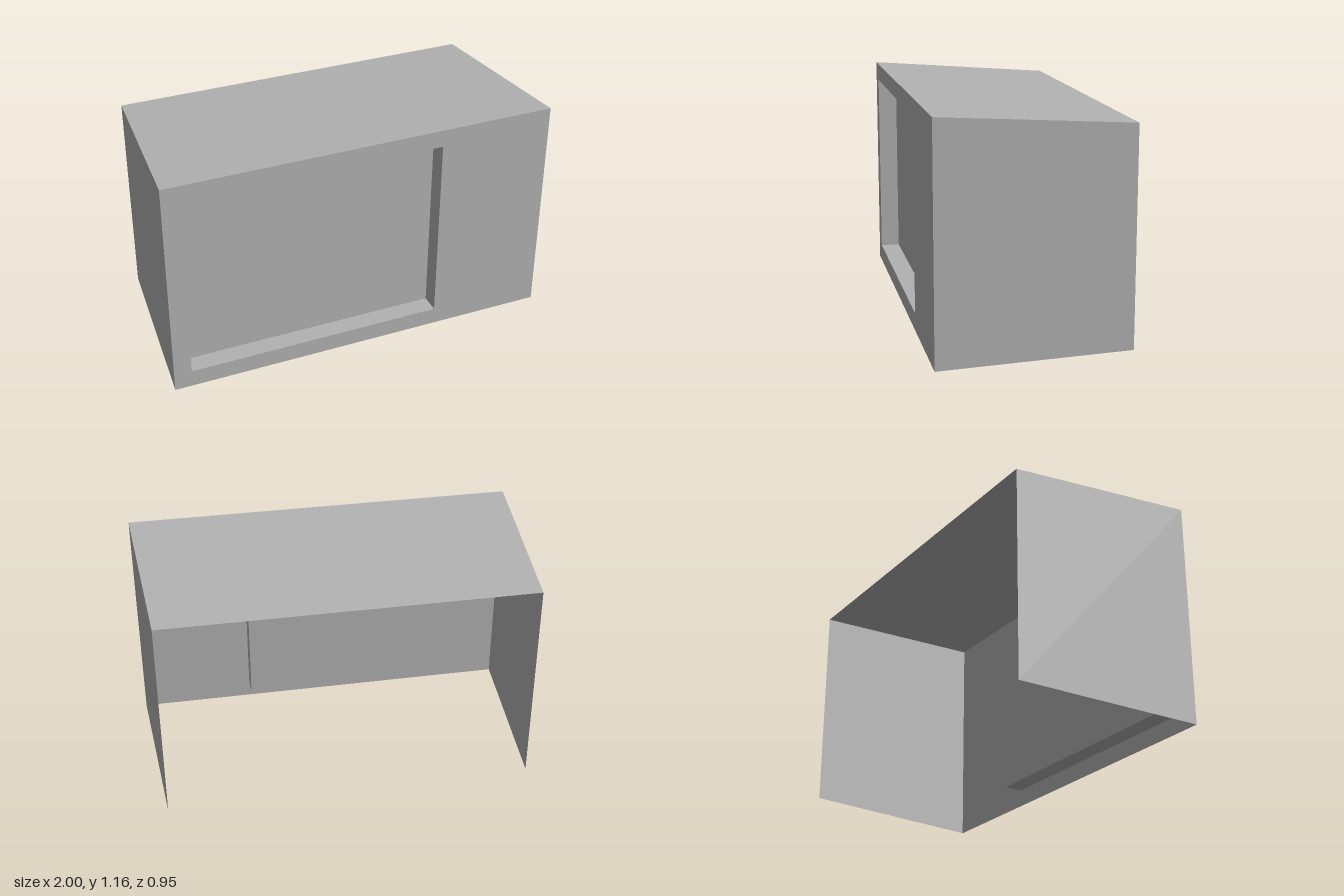
import * as THREE from 'three';

const grey = new THREE.MeshStandardMaterial({ color: 0xb2b2b2, side: THREE.DoubleSide });
grey.name = 'plain grey';

// Flat four-cornered panel, corners counter-clockwise seen from its outer side
function panel(name, a, b, c, d) {
  const geometry = new THREE.BufferGeometry();
  geometry.setAttribute('position', new THREE.Float32BufferAttribute([a, b, c, d].flat(), 3));
  geometry.setIndex([0, 1, 2, 0, 2, 3]);
  geometry.computeVertexNormals();
  const mesh = new THREE.Mesh(geometry, grey);
  mesh.name = name;
  return mesh;
}

// Corner points of a rectangle at depth z: bottom left, bottom right, top right, top left
function corners(x0, x1, y0, y1, z) {
  return [[x0, y0, z], [x1, y0, z], [x1, y1, z], [x0, y1, z]];
}

export function createModel() {
  const model = new THREE.Group();
  model.name = 'openBackedCabinet';

  const front = corners(-1, 1, 0, 1.16, 0.477);
  const back = corners(-0.925, 0.947, 0.016, 1.094, -0.477);
  const opening = corners(-0.91, 0.413, 0.09, 1.07, 0.477);
  const recess = corners(-0.91, 0.413, 0.09, 1.07, 0.377);

  // Front wall with a window opening
  const toPoints = (list) => list.map(([x, y]) => new THREE.Vector2(x, y));
  const shape = new THREE.Shape(toPoints(front));
  shape.holes.push(new THREE.Path(toPoints(opening).reverse()));
  const wall = new THREE.Mesh(new THREE.ShapeGeometry(shape), grey);
  wall.name = 'frontWall';
  wall.position.z = 0.477;
  model.add(wall);

  // Tapered shell, open at the back and underneath
  model.add(
    panel('leftWall', front[1], back[1], back[2], front[2]),
    panel('rightWall', back[0], front[0], front[3], back[3]),
    panel('roof', front[3], front[2], back[2], back[3]),
  );

  // Shallow recess behind the opening
  const names = ['recessFloor', 'recessLeftSide', 'recessCeiling', 'recessRightSide'];
  names.forEach((name, i) => {
    const j = (i + 1) % 4;
    model.add(panel(name, opening[i], opening[j], recess[j], recess[i]));
  });
  model.add(panel('recessPane', ...recess));

  return model;
}
